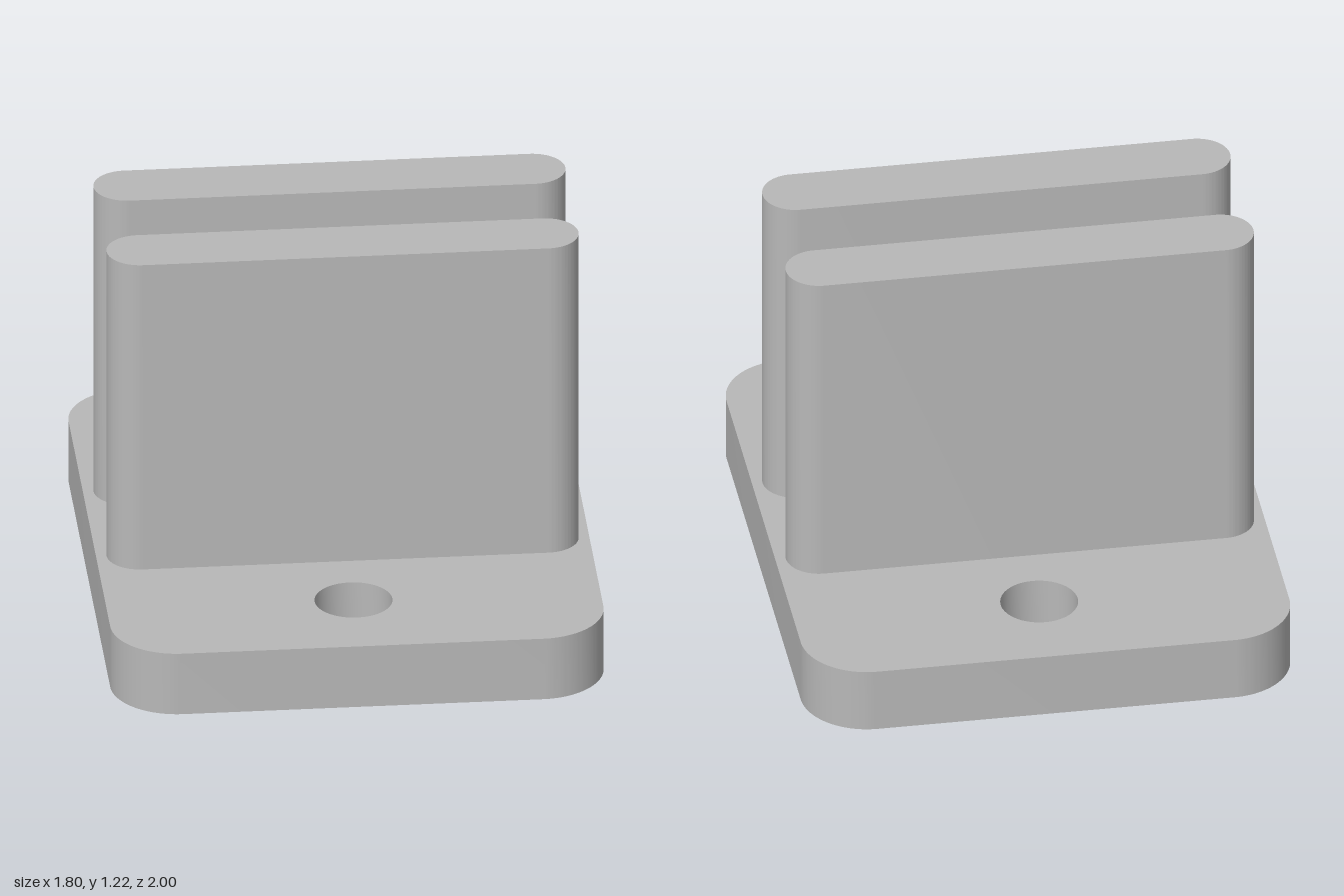
import * as THREE from 'three';
import { toCreasedNormals } from 'three/addons/utils/BufferGeometryUtils.js';

// Rounded rectangle centred on the origin, from half sizes and corner radius
function roundedShape(a, b, r) {
  const shape = new THREE.Shape();
  const corners = [[a - r, b - r], [r - a, b - r], [r - a, r - b], [a - r, r - b]];
  corners.forEach(([x, y], i) => {
    shape.absarc(x, y, r, i * Math.PI / 2, (i + 1) * Math.PI / 2, false);
  });
  shape.closePath();
  return shape;
}

// Upright extrusion with smooth rounded sides and sharp rims
function upright(shape, height) {
  const geometry = new THREE.ExtrudeGeometry(shape, { depth: height, bevelEnabled: false, curveSegments: 20 });
  geometry.rotateX(-Math.PI / 2);
  return toCreasedNormals(geometry, Math.PI / 6);
}

export function createModel() {
  const group = new THREE.Group();
  group.name = 'slottedBracket';
  const grey = new THREE.MeshStandardMaterial({ color: 0xb8b8b8 });
  grey.name = 'plain grey';

  const plateHeight = 0.203;
  const wallHeight = 1.022;

  // The whole bracket sits turned on its vertical axis
  const bracket = new THREE.Group();
  bracket.name = 'bracket';
  bracket.rotation.y = Math.PI / 12;
  group.add(bracket);

  // Base plate with two screw holes
  const plateShape = roundedShape(0.742, 0.882, 0.2);
  for (const side of [-1, 1]) {
    const hole = new THREE.Path();
    hole.absarc(0, side * 0.574, 0.117, 0, Math.PI * 2, true);
    plateShape.holes.push(hole);
  }
  const plate = new THREE.Mesh(upright(plateShape, plateHeight), grey);
  plate.name = 'basePlate';
  bracket.add(plate);

  // Two parallel round-ended walls
  const wallGeometry = upright(roundedShape(0.71, 0.1, 0.1), wallHeight);
  for (const side of [-1, 1]) {
    const wall = new THREE.Mesh(wallGeometry, grey);
    wall.name = side > 0 ? 'frontWall' : 'backWall';
    wall.position.set(0, plateHeight, side * 0.215);
    bracket.add(wall);
  }

  return group;
}
